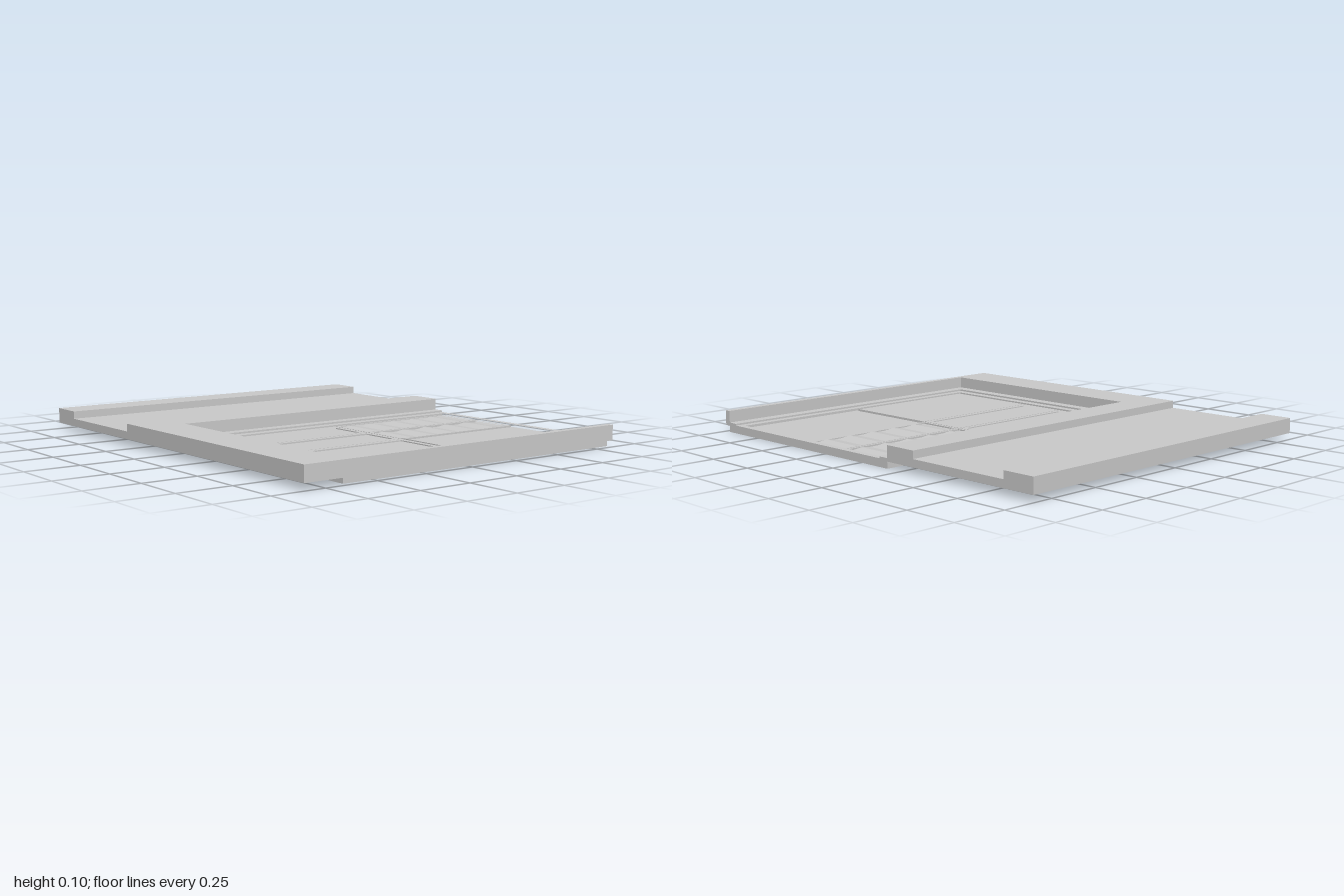
import * as THREE from 'three';

const material = new THREE.MeshStandardMaterial({ color: 0xcccccc, flatShading: true });
const BACK = -0.85, FRONT = 0.85;

// Rectangle corners on the floor plan, as [x, z]
const rect = (x0, x1, z0, z1) => [[x0, z0], [x1, z0], [x1, z1], [x0, z1]];
const toPoints = (list) => list.map(([x, z]) => new THREE.Vector2(x, -z));

// Flat plate with optional openings, lying between heights y0 and y1
function plate(name, outline, y0, y1, holes = []) {
  const shape = new THREE.Shape(toPoints(outline));
  for (const h of holes) shape.holes.push(new THREE.Path(toPoints(h)));
  const geometry = new THREE.ExtrudeGeometry(shape, { depth: y1 - y0, bevelEnabled: false });
  geometry.rotateX(-Math.PI / 2).translate(0, y0, 0);
  const mesh = new THREE.Mesh(geometry, material);
  mesh.name = name;
  return mesh;
}

// U-shaped outline, open at the back edge
const uShape = (x0, x1, z1, ix0, ix1, iz1) => [
  [x0, BACK], [x0, z1], [x1, z1], [x1, BACK],
  [ix1, BACK], [ix1, iz1], [ix0, iz1], [ix0, BACK],
];

// Row of pleated slats filling a pane
function louver(name, x0, x1, z0, z1, yLow, yHigh, count) {
  const shape = new THREE.Shape();
  const step = (z1 - z0) / count;
  shape.moveTo(-z0, yLow - 0.005);
  for (let i = 0; i < count; i++) {
    const z = z0 + i * step;
    shape.lineTo(-z, yLow);
    shape.lineTo(-(z + step * 0.55), yHigh);
  }
  shape.lineTo(-z1, yLow);
  shape.lineTo(-z1, yLow - 0.005);
  const geometry = new THREE.ExtrudeGeometry(shape, { depth: x1 - x0, bevelEnabled: false });
  geometry.rotateY(Math.PI / 2);
  // after the turn the profile runs along -z, extruded along +x
  geometry.translate(x0, 0, 0);
  const mesh = new THREE.Mesh(geometry, material);
  mesh.name = name;
  return mesh;
}

export function createModel() {
  const model = new THREE.Group();
  model.name = 'wallSection';

  // Wall: edge pilaster, sunken panel and the surround of the window
  model.add(
    plate('edgePilaster', rect(-1, -0.845, BACK, FRONT), 0.03, 0.1),
    plate('sunkenPanel', rect(-0.845, -0.33, BACK, FRONT), 0.03, 0.065),
    plate('windowSurround', uShape(-0.33, 1, FRONT, -0.17, 0.97, 0.645), 0.03, 0.1),
  );

  // Window: backing, two stepped frames and the sashes
  const windowGroup = new THREE.Group();
  windowGroup.name = 'window';
  model.add(windowGroup);
  windowGroup.add(
    plate('windowBacking', rect(-0.17, 0.97, BACK, 0.645), 0, 0.018),
    plate('outerFrame', uShape(-0.17, 0.97, 0.645, -0.12, 0.92, 0.595), 0.018, 0.045),
    plate('innerFrame', rect(-0.12, 0.92, BACK, 0.595), 0.018, 0.037,
      [rect(-0.08, 0.885, -0.82, 0.555)]),
  );

  // Sashes: [name, outer x0, x1, z0, z1, opening x0, x1, z0, z1]
  const sashes = [
    ['upperSashA', -0.08, 0.157, -0.82, -0.135, -0.07, 0.145, -0.8, -0.15],
    ['upperSashB', 0.163, 0.4, -0.82, -0.135, 0.175, 0.39, -0.8, -0.15],
    ['lowerSashA', -0.08, 0.157, -0.13, 0.555, -0.055, 0.135, -0.105, 0.525],
    ['lowerSashB', 0.163, 0.4, -0.13, 0.555, 0.185, 0.375, -0.105, 0.525],
    ['lowerSashC', 0.405, 0.885, -0.13, 0.555, 0.43, 0.86, -0.105, 0.525],
  ];
  for (const [name, a, b, c, d, ...hole] of sashes) {
    windowGroup.add(plate(name, rect(a, b, c, d), 0.018, 0.03, [rect(...hole)]));
    if (name.startsWith('upper')) {
      windowGroup.add(louver(name + 'Louver', ...hole, 0.019, 0.028, 5));
    }
  }
  // Plain upper pane and the rail under it
  windowGroup.add(
    plate('upperPane', rect(0.405, 0.885, -0.82, -0.145), 0.018, 0.023),
    plate('crossRail', rect(0.405, 0.885, -0.145, -0.135), 0.018, 0.033),
  );
  return model;
}
